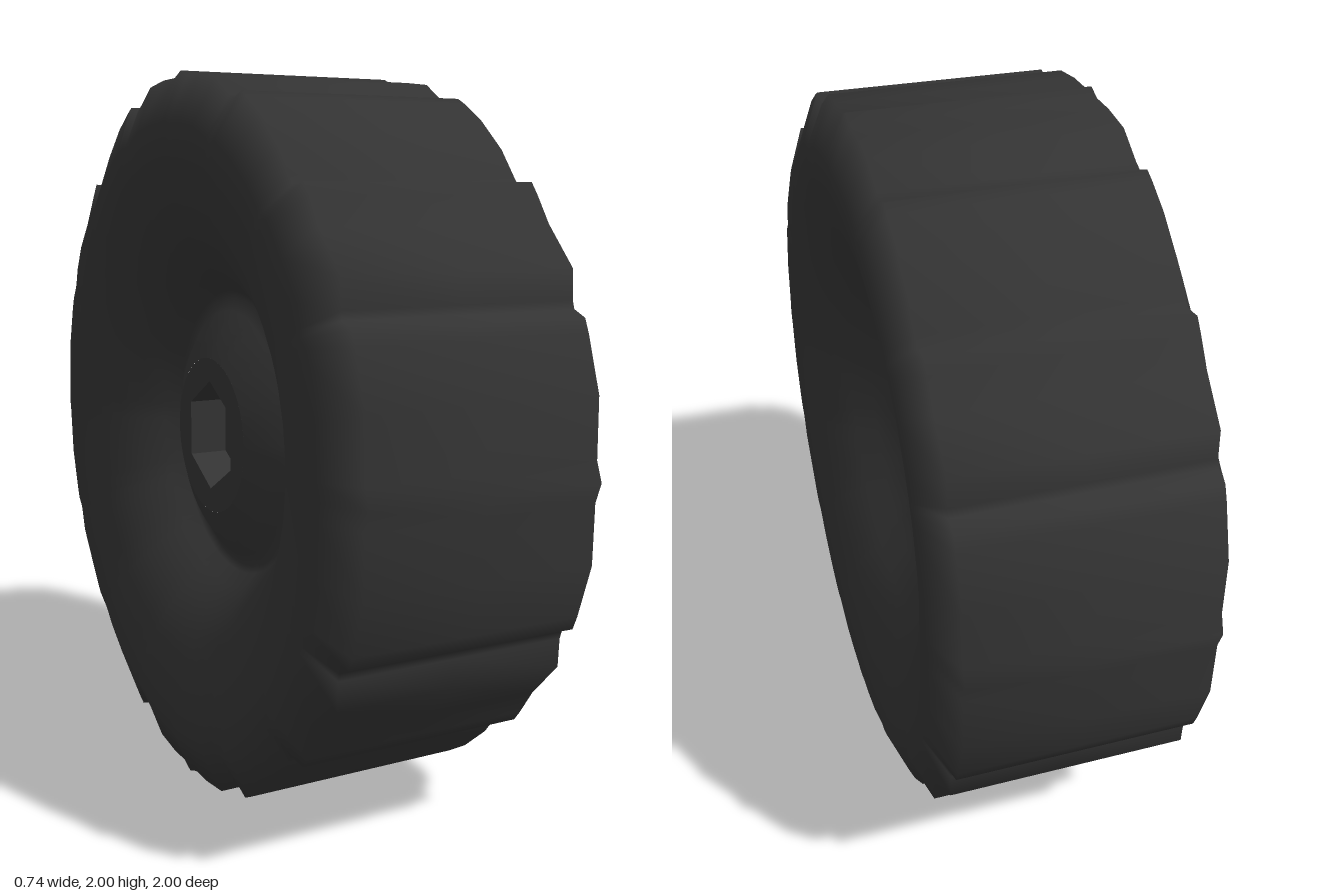
import * as THREE from 'three';

const rubber = new THREE.MeshStandardMaterial({ color: 0x333333 });
rubber.name = 'dark rubber';

// Tread outline over a quarter turn: [degrees from the top, radius]
const quarter = [
  [0, 1], [2.5, 0.984], [7, 0.99], [12.8, 0.995], [18.5, 0.967], [20, 0.965], [22, 0.996], [24, 0.994], [29, 0.987],
  [36, 0.971], [41, 0.952], [42.7, 0.948], [44.8, 0.991], [47, 0.987], [52, 0.978], [60, 1], [64, 0.968],
  [65.3, 0.965], [67.2, 0.995], [69.5, 0.996], [78, 1], [87, 0.982],
];
const outline = [
  ...quarter, [90, 1], ...quarter.slice(1).reverse().map(([a, r]) => [180 - a, r]),
  [180, 1], ...quarter.slice(1).map(([a, r]) => [180 + a, r]), [270, 1],
  ...quarter.slice(1).reverse().map(([a, r]) => [360 - a, r]),
];

// Cross-section from the outer dish, over the tread, to the hub: [x, radius, tread strength]
const shoulder = [
  [0.255, 0.5, 0], [0.3, 0.57, 0], [0.337, 0.66, 0],
  [0.363, 0.77, 0], [0.372, 0.87, 0.4], [0.32, 1, 1],
];
const section = [
  [0.085, 0, 0], [0.092, 0.12, 0], [0.115, 0.24, 0], [0.15, 0.34, 0], [0.2, 0.42, 0],
  ...shoulder, [0, 1, 1],
  ...shoulder.slice().reverse().map(([x, r, w]) => [-x, r, w]),
  [-0.205, 0.44, 0], [-0.165, 0.405, 0], [-0.155, 0.385, 0], [-0.175, 0.35, 0], [-0.21, 0.3, 0], [-0.245, 0.22, 0],
];

function tyreGeometry() {
  const positions = [], index = [], n = outline.length;
  section.forEach(([x, r, w], i) => {
    outline.forEach(([deg, t], j) => {
      const a = THREE.MathUtils.degToRad(deg);
      const radius = r * (1 + (t - 1) * w);
      positions.push(x, radius * Math.cos(a), radius * Math.sin(a));
      if (i === section.length - 1) return;
      const k = (j + 1) % n;
      const p = i * n + j, q = i * n + k;
      index.push(p, p + n, q, q, p + n, q + n);
    });
  });
  const geometry = new THREE.BufferGeometry();
  geometry.setAttribute('position', new THREE.Float32BufferAttribute(positions, 3));
  geometry.setIndex(index);
  geometry.computeVertexNormals();
  return geometry;
}

// Hub plate with a six-sided axle socket
function hubGeometry() {
  const plate = new THREE.Shape().absarc(0, 0, 0.22, 0, Math.PI * 2, false);
  const corners = [];
  for (let i = 0; i < 6; i++) {
    const a = Math.PI / 2 - i * Math.PI / 3;
    corners.push(new THREE.Vector2(0.155 * Math.cos(a), 0.155 * Math.sin(a)));
  }
  plate.holes.push(new THREE.Path(corners));
  return new THREE.ExtrudeGeometry(plate, { depth: 0.12, bevelEnabled: false, curveSegments: 28 })
    .rotateY(Math.PI / 2);
}

export function createModel() {
  const wheel = new THREE.Group();
  wheel.name = 'wheel';
  const add = (name, geometry, x) => {
    const mesh = new THREE.Mesh(geometry, rubber);
    mesh.name = name;
    mesh.position.set(x, 1, 0);
    wheel.add(mesh);
  };
  add('tyre', tyreGeometry(), 0);
  add('hub', hubGeometry(), -0.245);
  add('socketFloor', new THREE.CircleGeometry(0.18, 24).rotateY(-Math.PI / 2), -0.135);
  return wheel;
}
